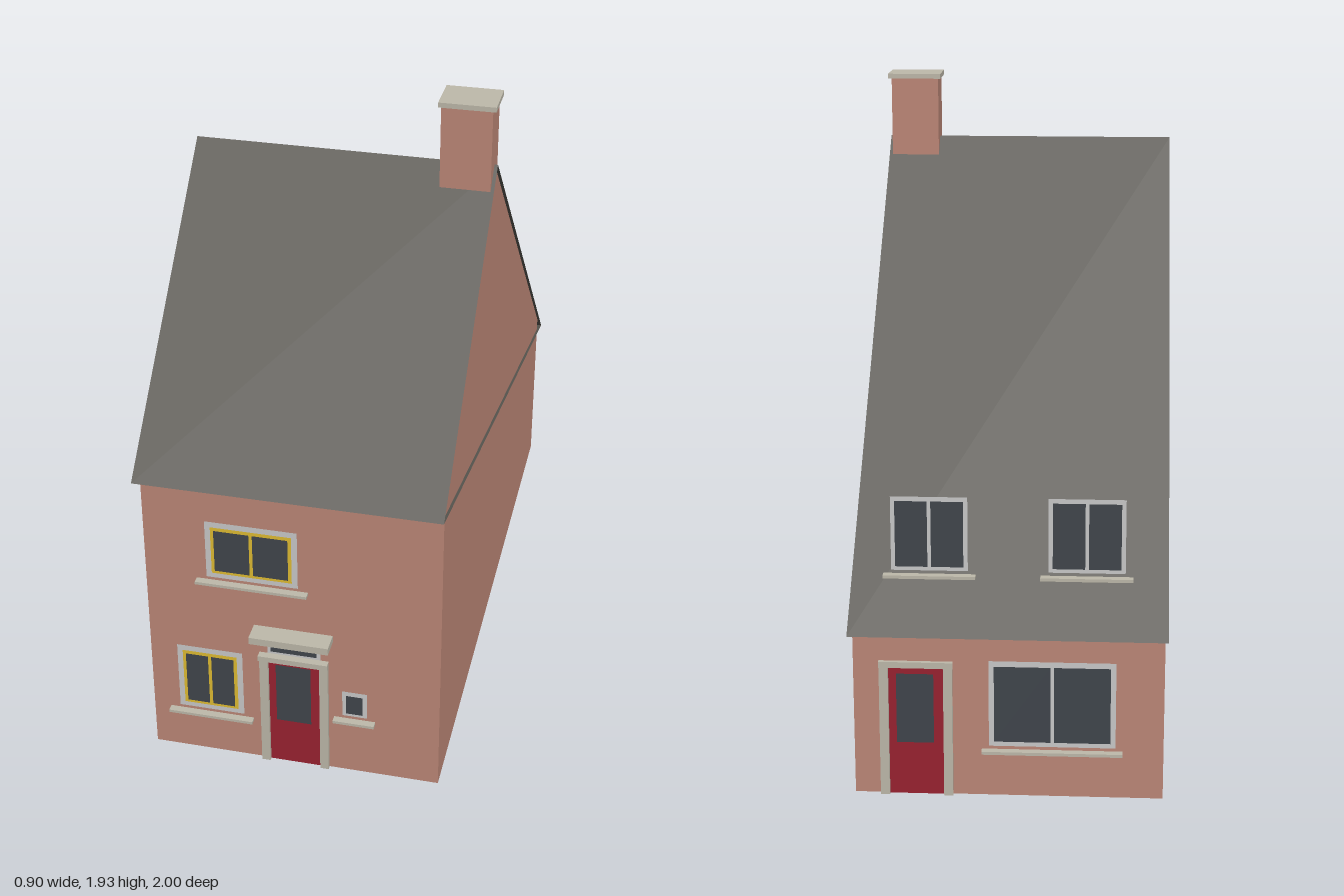
import * as THREE from 'three';

const material = (color) => new THREE.MeshStandardMaterial({ color, side: THREE.DoubleSide });

export function createModel() {
  const house = new THREE.Group();
  house.name = 'house';
  const brick = material(0xbe8878), slate = material(0x5b5953), stone = material(0xbfbaab);
  const frameGrey = material(0xcccccc), glass = material(0x41464d);
  const red = material(0x9b2231), yellow = material(0xe2be32);

  const add = (parent, name, geometry, mat) => {
    const mesh = new THREE.Mesh(geometry, mat);
    mesh.name = name;
    parent.add(mesh);
    return mesh;
  };
  const box = (parent, name, mat, x0, x1, y0, y1, z0, z1) =>
    add(parent, name, new THREE.BoxGeometry(x1 - x0, y1 - y0, z1 - z0), mat)
      .position.set((x0 + x1) / 2, (y0 + y1) / 2, (z0 + z1) / 2);
  const panel = (parent, name, mat, x0, x1, y0, y1, z) => {
    const mesh = add(parent, name, new THREE.PlaneGeometry(x1 - x0, y1 - y0), mat);
    mesh.position.set((x0 + x1) / 2, (y0 + y1) / 2, z);
    return mesh;
  };

  const W = 0.44, FRONT = 0.936, BACK = -0.942;

  // Brick shell: two gable walls, front and back walls, and the inner ceiling
  const gable = new THREE.Shape([[BACK, 0], [FRONT, 0], [FRONT, 1.04], [0.24, 1.722], [BACK, 0.556]]
    .map(([z, y]) => new THREE.Vector2(-z, y)));
  for (const s of [-1, 1]) {
    const wall = add(house, s > 0 ? 'leftGableWall' : 'rightGableWall', new THREE.ShapeGeometry(gable), brick);
    wall.rotation.y = Math.PI / 2;
    wall.position.x = s * W;
  }
  panel(house, 'frontWall', brick, -W, W, 0, 0.978, FRONT);
  panel(house, 'backWall', brick, -W, W, 0, 0.515, BACK).rotation.y = Math.PI;
  const ceiling = add(house, 'ceiling', new THREE.PlaneGeometry(2 * W, FRONT - BACK), brick);
  ceiling.rotation.x = Math.PI / 2;
  ceiling.position.set(0, 0.555, (FRONT + BACK) / 2);

  // Roof: open-ended triangular sleeve with a sloping underside
  const section = [[0.988, 0.99], [0.24, 1.726], [-1, 0.5]];
  const R = 0.448, corners = [];
  section.forEach(([z, y], i) => {
    const [z2, y2] = section[(i + 1) % 3];
    corners.push(-R, y, z, R, y, z, R, y2, z2, -R, y, z, R, y2, z2, -R, y2, z2);
  });
  const roof = new THREE.BufferGeometry();
  roof.setAttribute('position', new THREE.Float32BufferAttribute(corners, 3));
  roof.computeVertexNormals();
  add(house, 'roof', roof, slate);

  // Chimney
  const chimney = new THREE.Group();
  chimney.name = 'chimney';
  house.add(chimney);
  box(chimney, 'chimneyStack', brick, 0.29, 0.438, 1.62, 1.915, 0.186, 0.3);
  box(chimney, 'chimneyCap', stone, 0.282, 0.448, 1.915, 1.93, 0.176, 0.304);

  // Groups of fittings whose local z = 0 is the wall face
  const addSide = (name, z) => {
    const side = new THREE.Group();
    side.name = name;
    side.position.z = z;
    side.rotation.y = z < 0 ? Math.PI : 0;
    house.add(side);
    return side;
  };

  // Window: flat surround, optional coloured casement, panes and a projecting sill
  function addWindow(side, name, x0, x1, y0, y1, { border = 0.017, panes = 2, casement = null, sill = 0.03 } = {}) {
    const g = new THREE.Group();
    g.name = name;
    side.add(g);
    panel(g, 'surround', frameGrey, x0, x1, y0, y1, 0.002);
    const a = x0 + border, b = x1 - border, c = y0 + border, d = y1 - border;
    if (casement) panel(g, 'casement', casement, a, b, c, d, 0.004);
    const bar = 0.01, edge = casement ? bar : 0, step = (b - a - 2 * edge + bar) / panes;
    for (let i = 0; i < panes; i++) {
      const p = a + edge + i * step;
      panel(g, 'pane', glass, p, p + step - bar, c + edge, d - edge, 0.006);
    }
    if (sill) box(g, 'sill', stone, x0 - sill, x1 + sill, y0 - 0.018, y0 - 0.009, 0.002, 0.024);
  }

  // Door with glazed upper part, stone jambs and lintel
  function addDoor(side, name, x, lintelDepth) {
    const g = new THREE.Group();
    g.name = name;
    g.position.x = x;
    side.add(g);
    panel(g, 'doorLeaf', red, -0.08, 0.08, 0, 0.39, 0.003);
    panel(g, 'doorGlass', glass, -0.056, 0.05, 0.16, 0.37, 0.006);
    for (const s of [-1, 1]) {
      const c = s * 0.091;
      box(g, 'jamb', stone, c - 0.013, c + 0.013, 0, 0.39, 0.002, 0.014);
    }
    box(g, 'lintel', stone, -0.105, 0.105, 0.39, 0.408, 0.002, lintelDepth);
  }

  // Front
  const front = addSide('frontFittings', FRONT);
  addWindow(front, 'upperWindow', -0.255, 0.018, 0.66, 0.855, { casement: yellow });
  addWindow(front, 'lowerWindow', -0.358, -0.157, 0.158, 0.39, { casement: yellow });
  addWindow(front, 'smallWindow', 0.147, 0.222, 0.212, 0.303, { border: 0.012, panes: 1, sill: 0.025 });
  addWindow(front, 'transomWindow', -0.078, 0.082, 0.408, 0.46, { border: 0.01, panes: 1, sill: 0 });
  addDoor(front, 'frontDoor', 0.002, 0.024);
  box(front, 'doorCanopy', stone, -0.117, 0.12, 0.483, 0.506, 0.002, 0.064);

  // Back, turned to face -z
  const back = addSide('backFittings', BACK);
  addDoor(back, 'backDoor', -0.262, 0.014);
  addWindow(back, 'backWindow', -0.056, 0.304, 0.153, 0.412, { border: 0.015, sill: 0.02 });
  for (const s of [-1, 1]) {
    const c = s * 0.219;
    addWindow(back, 'upperBackWindow', c - 0.107, c + 0.107, 0.68, 0.895, { border: 0.012, sill: 0.022 });
  }
  return house;
}
